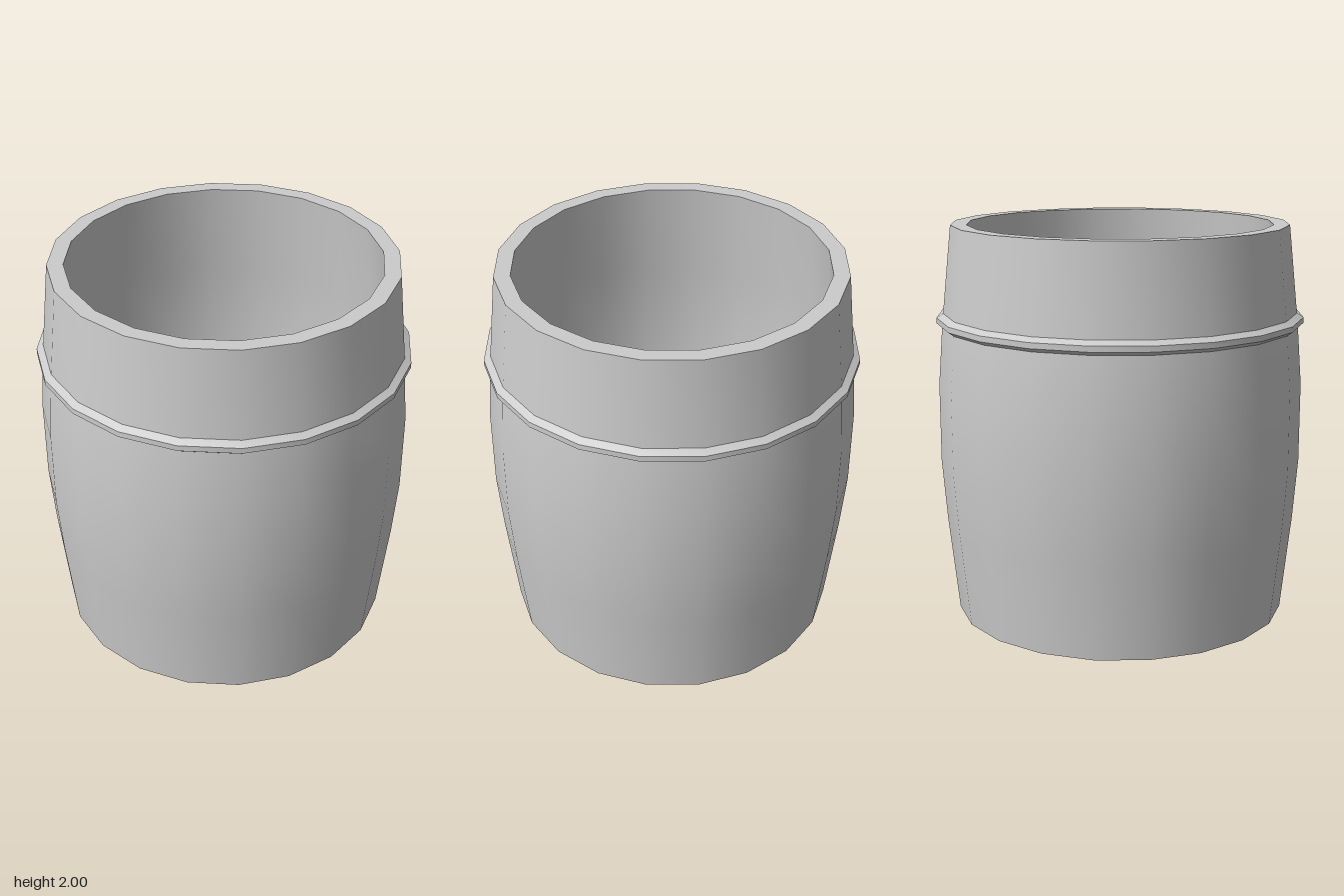
import * as THREE from 'three';
import { toCreasedNormals } from 'three/addons/utils/BufferGeometryUtils.js';

const SIDES = 20;
const material = new THREE.MeshStandardMaterial({ color: 0xcccccc });

// Turned part from [radius, height] pairs, smooth around and sharp at corners
function turned(name, profile) {
  const points = profile.map(([r, y]) => new THREE.Vector2(r, y));
  const geometry = toCreasedNormals(new THREE.LatheGeometry(points, SIDES), Math.PI / 6);
  const mesh = new THREE.Mesh(geometry, material);
  mesh.name = name;
  return mesh;
}

export function createModel() {
  const model = new THREE.Group();
  model.name = 'barrel';

  // Bulging outer wall, from base to rim
  const outer = [[0.85, 0], [0.902, 0.49], [0.926, 0.8], [0.926, 1.2], [0.902, 1.51], [0.85, 2]];
  // Inner wall follows the outer one at an even thickness, down to the floor
  const wall = 0.08, floor = 0.08;
  const inner = outer.map(([r, y], i) => [r - wall, i === 0 ? floor : y]).reverse();

  // Hollow body: underside, outer wall, rim, inner wall, floor
  model.add(turned('body', [[0, 0], ...outer, ...inner, [0, floor]]));

  // Raised hoop with bevelled edges
  model.add(turned('hoop', [[0.9, 1.49], [0.93, 1.512], [0.93, 1.54], [0.895, 1.562]]));

  return model;
}
